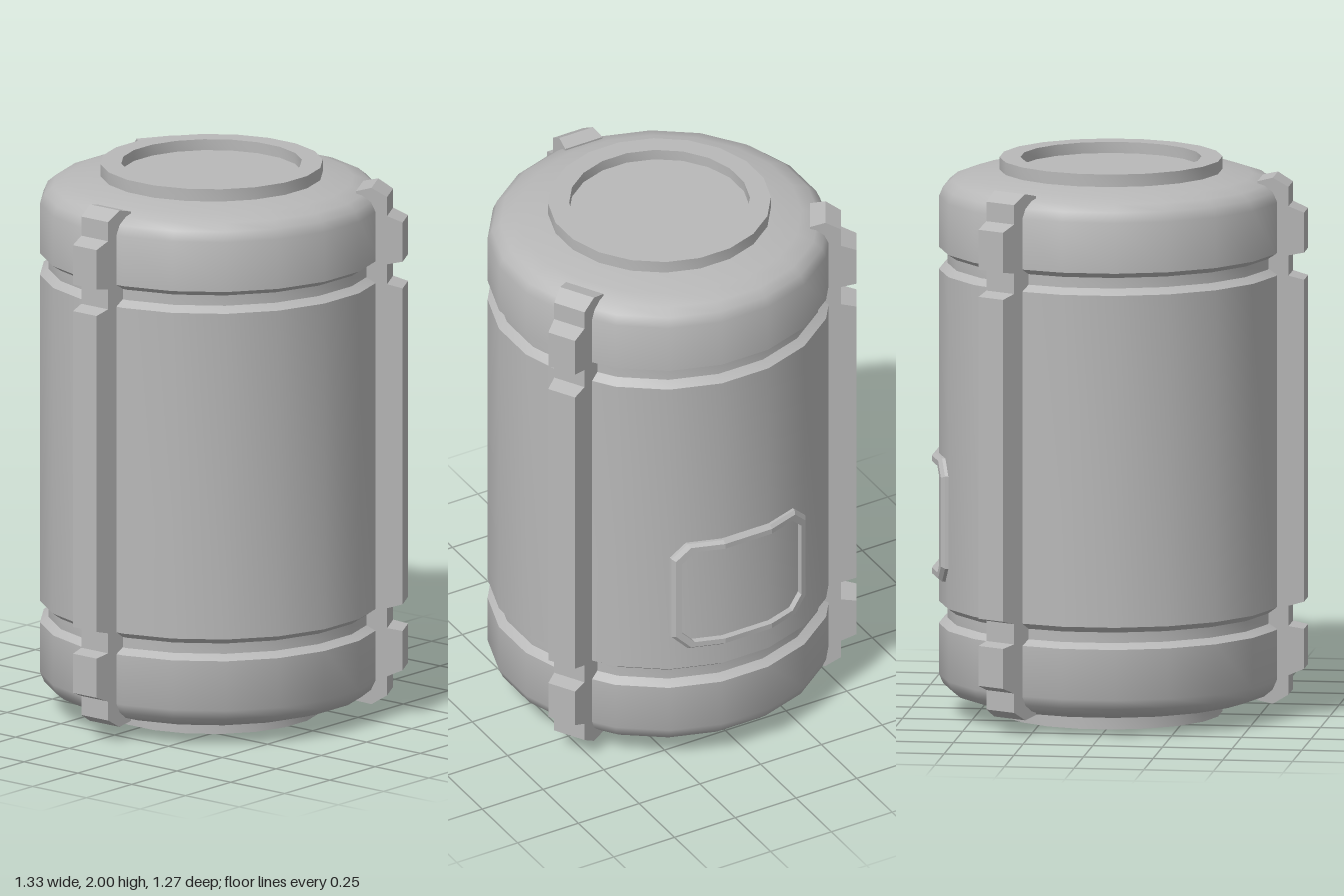
import * as THREE from 'three';
import { toCreasedNormals } from 'three/addons/utils/BufferGeometryUtils.js';

const SIDES = 20;
const AXIS_X = 0.035; // the barrel axis sits slightly off centre to balance rib and hatch
const RADIUS = 0.605; // distance from axis to each flat side
const CREASE = 0.6;

// Repeats a lower half profile, mirrored about y = 1
function mirrorProfile(half) {
  return [...half, ...half.slice().reverse().map(([r, y]) => [r, 2 - y])];
}

function barrelGeometry() {
  const half = [
    [0, 0.04], [0.318, 0.04], [0.318, 0], [0.392, 0], [0.392, 0.045], // recessed collar
    [0.5, 0.06], [0.56, 0.08], [0.59, 0.105], [RADIUS, 0.14], // rounded shoulder
    [RADIUS, 0.322], [0.575, 0.342], [0.575, 0.38], [RADIUS, 0.402], // groove
  ];
  const toCorner = 1 / Math.cos(Math.PI / SIDES);
  const points = mirrorProfile(half).map(([r, y]) => new THREE.Vector2(r * toCorner, y));
  return toCreasedNormals(new THREE.LatheGeometry(points, SIDES, Math.PI / SIDES), CREASE);
}

// Notched upright rail, narrowing outwards
function ribGeometry() {
  const half = [
    [0.535, 0.065], [0.59, 0.052], [0.645, 0.085],
    [0.645, 0.155], [0.7, 0.178], [0.7, 0.322], [0.645, 0.332],
    [0.645, 0.405], [0.7, 0.42],
  ];
  const shape = new THREE.Shape(mirrorProfile(half).map(([r, y]) => new THREE.Vector2(r, y)));
  const geometry = new THREE.ExtrudeGeometry(shape, { depth: 2, bevelEnabled: false });
  const p = geometry.attributes.position;
  for (let i = 0; i < p.count; i++) {
    const halfWidth = 0.055 + (0.7 - p.getX(i)) * 0.13;
    p.setZ(i, (p.getZ(i) - 1) * halfWidth);
  }
  geometry.computeVertexNormals();
  return geometry;
}

// Raised octagonal frame that bends with the barrel's flat sides
function hatchFrameGeometry() {
  const bend = RADIUS * Math.tan(Math.PI / SIDES);
  const slope = Math.tan((2 * Math.PI) / SIDES);
  const loop = (w, h, cut, lift) => [
    [-w + cut, -h], [-bend, -h], [bend, -h], [w - cut, -h], [w, -h + cut],
    [w, h - cut], [w - cut, h], [bend, h], [-bend, h], [-w + cut, h],
    [-w, h - cut], [-w, -h + cut],
  ].map(([u, v]) => [
    RADIUS + lift - Math.max(0, Math.abs(u) - bend) * slope, 0.713 + v, -u,
  ]);
  const loops = [
    loop(0.276, 0.222, 0.056, -0.005),
    loop(0.276, 0.222, 0.056, 0.012),
    loop(0.266, 0.212, 0.052, 0.025),
    loop(0.246, 0.192, 0.045, 0.025),
    loop(0.246, 0.192, 0.045, -0.005),
  ];
  const positions = [];
  for (let i = 0; i < loops.length - 1; i++) {
    const a = loops[i], b = loops[i + 1];
    for (let k = 0; k < a.length; k++) {
      const n = (k + 1) % a.length;
      positions.push(...a[k], ...a[n], ...b[n], ...a[k], ...b[n], ...b[k]);
    }
  }
  const geometry = new THREE.BufferGeometry();
  geometry.setAttribute('position', new THREE.Float32BufferAttribute(positions, 3));
  geometry.computeVertexNormals();
  return geometry;
}

export function createModel() {
  const grey = new THREE.MeshStandardMaterial({ color: 0xb8b8b8 });
  grey.name = 'plain grey';
  const model = new THREE.Group();
  model.name = 'canister';

  const add = (name, geometry) => {
    const mesh = new THREE.Mesh(geometry, grey);
    mesh.name = name;
    mesh.position.x = AXIS_X;
    model.add(mesh);
    return mesh;
  };

  add('barrel', barrelGeometry());
  add('hatchFrame', hatchFrameGeometry());

  // Three rails evenly spaced around the barrel
  const rib = ribGeometry();
  ['backRib', 'rightRib', 'frontRib'].forEach((name, i) => {
    add(name, rib).rotation.y = Math.PI / 3 + (i * 2 * Math.PI) / 3;
  });
  return model;
}
